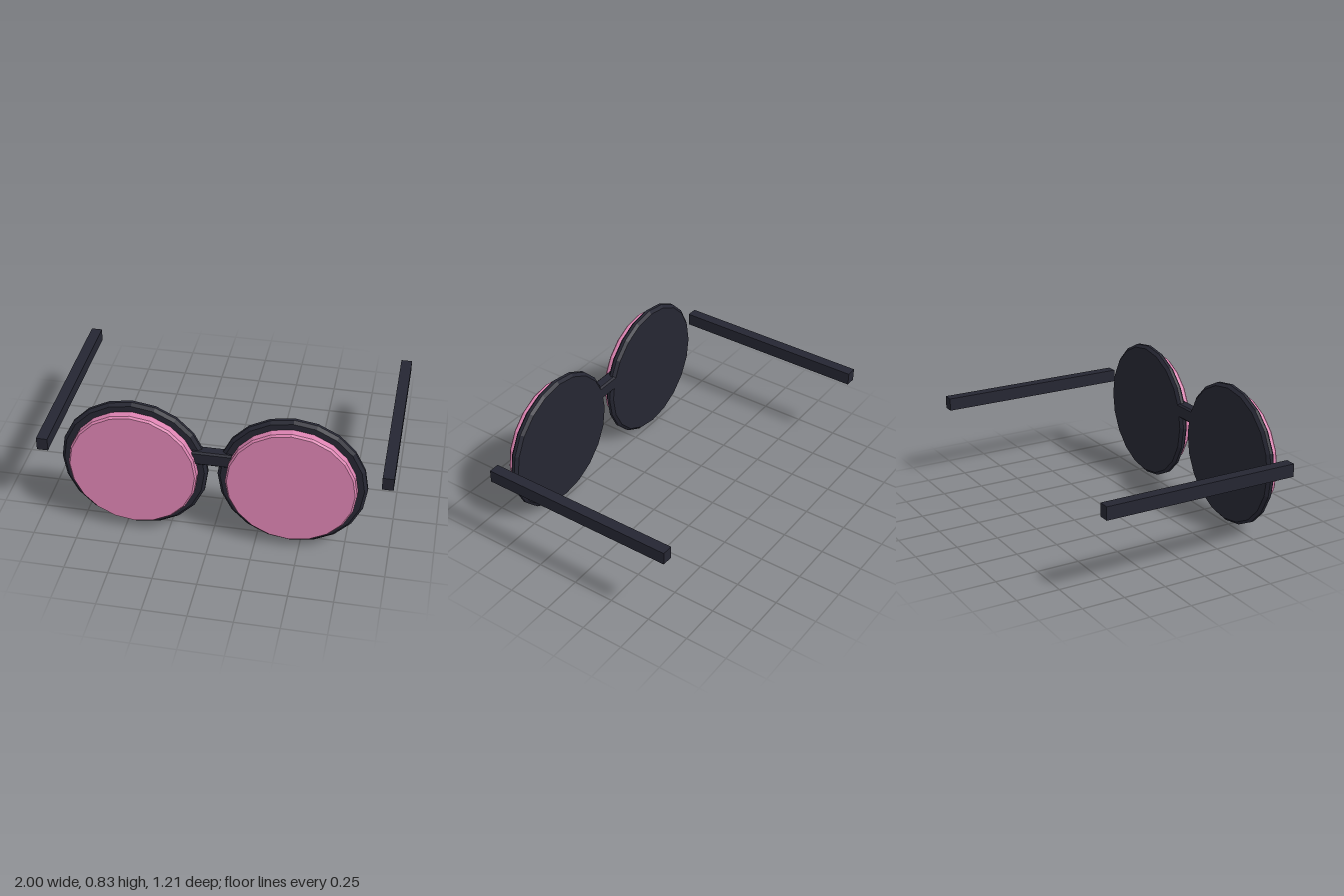
import * as THREE from 'three';

export function createModel() {
  const frameMat = new THREE.MeshStandardMaterial({ color: 0x252632, flatShading: true });
  frameMat.name = 'dark frame';
  const lensMat = new THREE.MeshStandardMaterial({ color: 0xdd84b2, flatShading: true });
  lensMat.name = 'pink lens';

  const model = new THREE.Group();
  model.name = 'roundGlasses';

  const add = (name, geometry, material, x, y, z) => {
    const mesh = new THREE.Mesh(geometry, material);
    mesh.name = name;
    mesh.position.set(x, y, z);
    model.add(mesh);
  };

  // Twenty-sided disc facing +z, from [radius, z] profile points running back to front
  const disc = (profile) =>
    new THREE.LatheGeometry(profile.map(([r, z]) => new THREE.Vector2(r, z)), 20).rotateX(Math.PI / 2);

  const rim = disc([[0, 0.505], [0.4, 0.505], [0.417, 0.521], [0.417, 0.539], [0.4, 0.555], [0, 0.555]]);
  const lens = disc([[0.36, 0.545], [0.365, 0.555], [0.365, 0.596], [0.355, 0.607], [0, 0.607]]);
  const temple = new THREE.BoxGeometry(0.064, 0.076, 1.172);

  for (const [side, s] of [['left', 1], ['right', -1]]) {
    add(side + 'Rim', rim, frameMat, s * 0.444, 0.418, 0);
    add(side + 'Lens', lens, lensMat, s * 0.444, 0.418, 0);
    add(side + 'Temple', temple, frameMat, s * 0.968, 0.498, -0.02);
  }

  // Bridge: a bar along x with chamfered long edges
  const h = 0.043, d = 0.035, c = 0.01;
  const section = new THREE.Shape([
    [-d, -h + c], [-d + c, -h], [d - c, -h], [d, -h + c],
    [d, h - c], [d - c, h], [-d + c, h], [-d, h - c],
  ].map(([x, y]) => new THREE.Vector2(x, y)));
  const bridge = new THREE.ExtrudeGeometry(section, { depth: 0.22, bevelEnabled: false })
    .translate(0, 0, -0.11)
    .rotateY(Math.PI / 2);
  add('bridge', bridge, frameMat, 0, 0.528, 0.54);

  return model;
}
